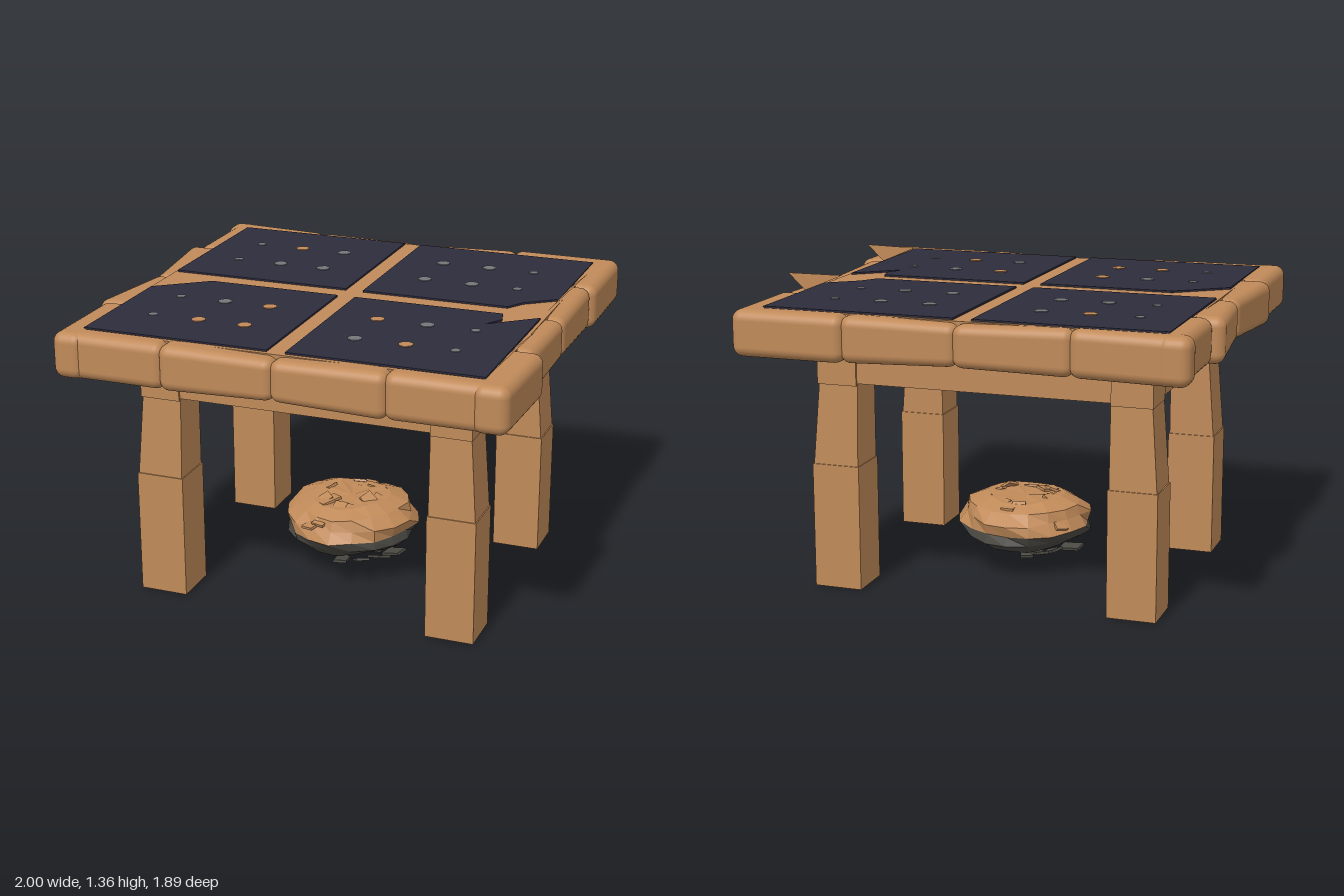
import * as THREE from 'three';
import { RoundedBoxGeometry } from 'three/addons/geometries/RoundedBoxGeometry.js';

const mat = (name, color, side = THREE.FrontSide, flatShading = false) => {
  const m = new THREE.MeshStandardMaterial({ color, side, flatShading });
  m.name = name;
  return m;
};

export function createModel() {
  const wood = mat('wood', 0xc08a59);
  const slate = mat('slate tile', 0x2e2c3c);
  const grey = mat('grey spot', 0x76757a);
  const char = mat('charred underside', 0x4b4943);
  wood.side = char.side = THREE.DoubleSide;

  const model = new THREE.Group();
  model.name = 'tiledTable';
  const add = (name, geo, material, x = 0, y = 0, z = 0, parent = model) => {
    const m = new THREE.Mesh(geo, material);
    m.name = name;
    m.position.set(x, y, z);
    parent.add(m);
    return m;
  };
  // Seeded random numbers for the rough-hewn shapes
  let seed = 7;
  const rnd = () => (seed = (seed * 16807) % 2147483647) / 2147483647;

  // Legs: square foot block, tapered shaft leaning inward, head block
  for (const sx of [-1, 1]) for (const sz of [-1, 1]) {
    const leg = new THREE.Group();
    leg.name = 'leg';
    model.add(leg);
    add('legFoot', new THREE.BoxGeometry(0.215, 0.555, 0.21), wood, sx * 0.665, 0.2775, sz * 0.505, leg);
    const shaft = new THREE.BoxGeometry(0.205, 0.365, 0.2);
    const p = shaft.attributes.position;
    for (let i = 0; i < p.count; i++) {
      if (p.getY(i) > 0 && p.getX(i) * sx > 0) p.setX(i, sx * 0.075);
      if (p.getY(i) > 0 && p.getZ(i) * sz > 0) p.setZ(i, sz * 0.085);
    }
    shaft.computeVertexNormals();
    add('legShaft', shaft, wood, sx * 0.665, 0.7375, sz * 0.505, leg);
    add('legHead', new THREE.BoxGeometry(0.18, 0.18, 0.19), wood, sx * 0.655, 1.0, sz * 0.505, leg);
  }

  // Apron under the top
  for (const s of [-1, 1]) {
    add('apronLong', new THREE.BoxGeometry(1.16, 0.16, 0.11), wood, 0, 1.0, s * 0.535);
    add('apronShort', new THREE.BoxGeometry(0.11, 0.16, 0.84), wood, s * 0.68, 1.0, 0);
  }

  // Core board that shows as cross bars between the tiles
  add('topBoard', new THREE.BoxGeometry(1.76, 0.175, 1.72), wood, 0, 1.1875, 0);

  // Rounded rail pieces; t0 and t1 shift the outer face at each end, waist thins one end
  const railPiece = (name, length, thick, t0, t1, w0, w1) => {
    const g = new RoundedBoxGeometry(length, 0.2, thick, 4, 0.045);
    const p = g.attributes.position;
    for (let i = 0; i < p.count; i++) {
      const k = p.getX(i) / length + 0.5;
      p.setY(i, p.getY(i) * THREE.MathUtils.lerp(w0, w1, k));
      if (p.getZ(i) > 0) p.setZ(i, p.getZ(i) + THREE.MathUtils.lerp(t0, t1, k));
    }
    const m = new THREE.Mesh(g, wood);
    m.name = name;
    return m;
  };
  // Each side: [end, middle, middle, end] as outer shifts at both ends of the piece
  const sides = [
    ['frontRail', 0, 0.875, 1.93, [[0, 0], [0.01, 0], [0, 0.01], [0, 0]]],
    ['rightRail', Math.PI / 2, 0.895, 1.87, [[0.03, 0.045], [0, 0], [0, 0], [0.02, 0.02]]],
    ['backRail', Math.PI, 0.88, 1.93, [[0.01, 0.01], [0, -0.02], [-0.01, -0.03], [-0.03, 0.01]]],
    ['leftRail', -Math.PI / 2, 0.895, 1.87, [[0, 0], [0.05, 0], [0, 0.05], [0.02, 0.02]]],
  ];
  for (const [name, turn, dist, span, shifts] of sides) {
    const rail = new THREE.Group();
    rail.name = name;
    rail.rotation.y = turn;
    model.add(rail);
    shifts.forEach(([t0, t1], i) => {
      const len = span / 4;
      const w0 = i === 2 ? 0.88 : 1, w1 = i === 1 ? 0.88 : 1;
      const piece = railPiece(name + 'Piece', len + 0.02, 0.12, t0, t1, w0, w1);
      piece.position.set((i - 1.5) * len, 1.18, dist);
      rail.add(piece);
    });
  }

  // Raised splinters on the right edge
  for (const [z0, z1] of [[0.84, 0.44], [-0.04, -0.43]]) {
    const g = new THREE.BufferGeometry();
    g.setAttribute('position', new THREE.Float32BufferAttribute(
      [0.87, 1.285, z0, 0.95, 1.355, z1, 0.87, 1.28, z1], 3));
    g.computeVertexNormals();
    add('splinter', g, wood);
  }

  // Four slate tiles, some with broken corners, outlined in x and z
  const tiles = [
    [[-0.87, -0.84], [-0.05, -0.84], [-0.05, -0.05], [-0.87, -0.05]],
    [[0.03, -0.84], [0.87, -0.84], [0.87, -0.23], [0.74, -0.13], [0.69, -0.05], [0.03, -0.05]],
    [[-0.65, 0.05], [-0.05, 0.05], [-0.05, 0.84], [-0.87, 0.84], [-0.87, 0.22]],
    [[0.03, 0.05], [0.7, 0.05], [0.72, 0.13], [0.67, 0.21], [0.865, 0.05], [0.865, 0.84], [0.03, 0.84]],
  ];
  for (const pts of tiles) {
    const shape = new THREE.Shape(pts.map(([x, z]) => new THREE.Vector2(x, -z)));
    const g = new THREE.ExtrudeGeometry(shape, { depth: 0.009, bevelEnabled: false });
    g.rotateX(-Math.PI / 2);
    add('slateTile', g, slate, 0, 1.274, 0);
  }

  // Spots worn through the tiles
  const worn = ['-0.47,-0.58', '-0.47,0.58', '-0.26,0.58', '-0.26,0.31', '0.23,0.31', '0.45,0.58'];
  for (const x of [-0.68, -0.47, -0.26, 0.23, 0.45, 0.66]) for (const z of [-0.58, -0.31, 0.31, 0.58]) {
    const r = Math.abs(x) > 0.6 ? 0.022 : 0.032;
    add('wornSpot', new THREE.CylinderGeometry(r, r, 0.004, 8),
      worn.includes(`${x},${z}`) ? wood : grey, x, 1.284, z);
  }

  // Rough bundle under the table: wood above, charred below
  const bundle = new THREE.Group();
  bundle.name = 'bundle';
  model.add(bundle);
  const lump = (name, profile, material) => {
    const g = new THREE.LatheGeometry(profile.map(([r, y]) => new THREE.Vector2(r, y)), 18).toNonIndexed();
    const p = g.attributes.position;
    for (let i = 0; i < p.count; i++) {
      const x = p.getX(i), y = p.getY(i), z = p.getZ(i);
      const a = Math.round(Math.atan2(z, x) * 9 / Math.PI + 18) % 18;
      const k = 1 + 0.05 * Math.sin(a * 5.3 + y * 60);
      p.setXYZ(i, x * k, y + (x * x + z * z > 0.001 ? 0.008 * Math.sin(a * 7.1) : 0), z * k);
    }
    g.computeVertexNormals();
    add(name, g, material, 0, 0, 0, bundle);
  };
  lump('bundleBottom', [[0, 0.09], [0.12, 0.1], [0.23, 0.125], [0.285, 0.165], [0.295, 0.205]], char);
  lump('bundleTop', [[0.295, 0.205], [0.285, 0.255], [0.25, 0.3], [0.18, 0.33], [0.09, 0.325], [0, 0.32]], wood);
  // Loose chips on the bundle
  for (let i = 0; i < 34; i++) {
    const a = i * 2.4, up = i % 4 !== 0;
    const r = up ? 0.12 + 0.15 * rnd() : 0.1 + 0.16 * rnd();
    const y = up ? 0.35 - 1.4 * r * r : 0.075 + 0.6 * r * r;
    const chip = add('chip', new THREE.BoxGeometry(0.1, 0.012, 0.06), up ? wood : char,
      r * Math.cos(a), y, r * Math.sin(a), bundle);
    chip.rotation.set((rnd() - 0.5) * 0.7, -a, (rnd() - 0.5) * 0.6 + (up ? -r * 2.4 : r));
  }
  return model;
}
